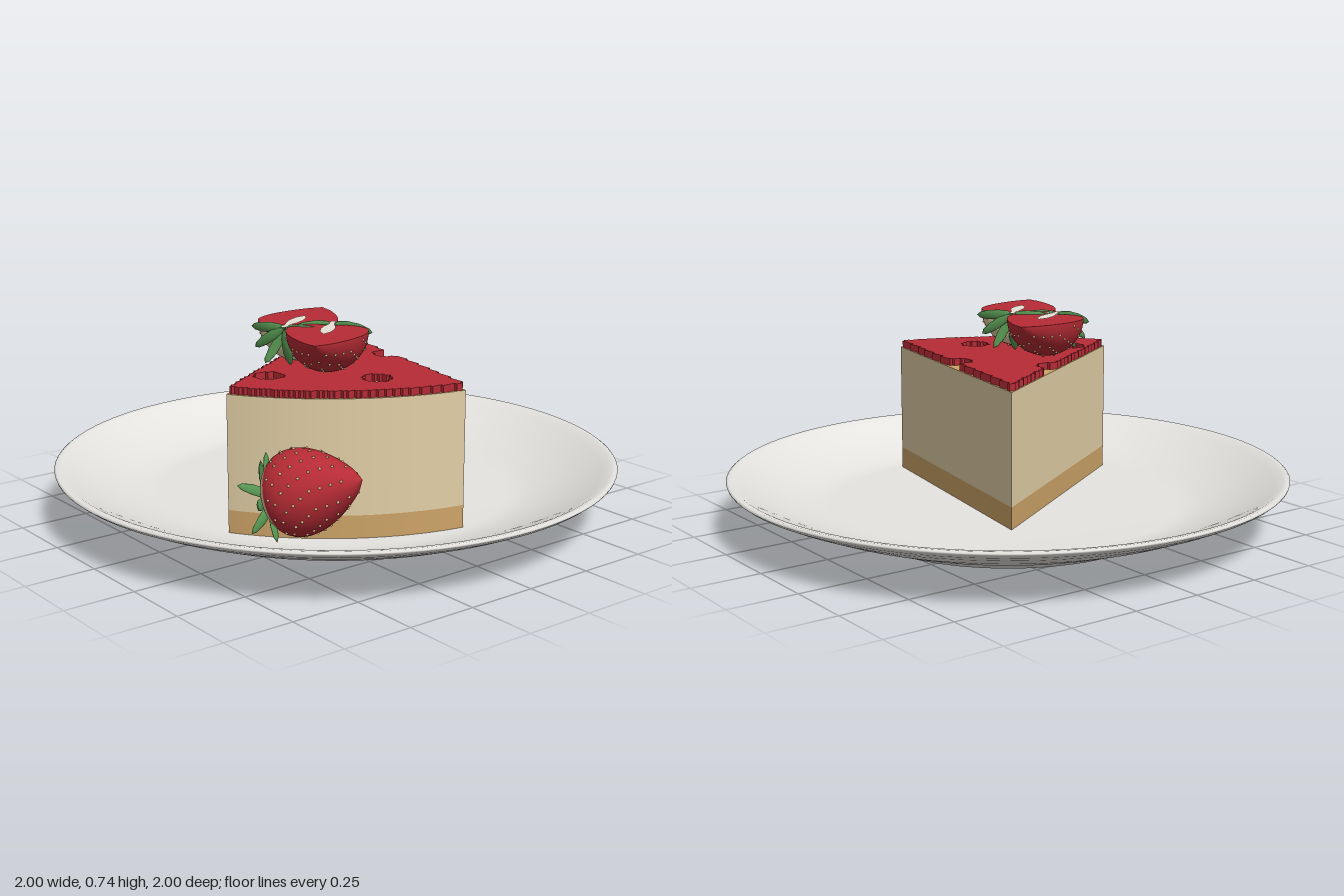
import * as THREE from 'three';
import { mergeGeometries } from 'three/addons/utils/BufferGeometryUtils.js';

const mat = (name, color, side = THREE.FrontSide) => {
  const m = new THREE.MeshStandardMaterial({ color, side });
  m.name = name;
  return m;
};
const V2 = (x, y) => new THREE.Vector2(x, y);

export function createModel() {
  const porcelain = mat('porcelain', 0xe6e4e0);
  const cream = mat('cream filling', 0xe2cfa6);
  const biscuit = mat('biscuit', 0xcda468);
  const red = mat('strawberry red', 0xb62b35, THREE.DoubleSide);
  const pale = mat('pale flesh', 0xe0cba0, THREE.DoubleSide);
  const white = mat('white core', 0xefe8de, THREE.DoubleSide);
  const green = mat('leaf green', 0x559350);
  const seedTan = mat('seed tan', 0xe6bd8c);

  const model = new THREE.Group();
  const add = (parent, name, geo, material) => {
    const m = new THREE.Mesh(geo, material);
    m.name = name;
    parent.add(m);
    return m;
  };

  // Plate: one turned profile, underside first, then rim and inner face
  const under = [[0, 0.008], [0.49, 0.008], [0.515, 0], [0.54, 0], [0.565, 0.012], [0.62, 0.038], [0.7, 0.062],
    [0.82, 0.106], [0.93, 0.152], [0.98, 0.176], [0.998, 0.19], [1, 0.196], [0.993, 0.201], [0.975, 0.199]];
  const inner = [[0.945, 0.184], [0.87, 0.148], [0.78, 0.113], [0.7, 0.093], [0.66, 0.087], [0.62, 0.085], [0, 0.085]];
  add(model, 'plate', new THREE.LatheGeometry([...under, ...inner].map(p => V2(...p)), 96), porcelain);

  // Cake slice: a sector seen from above, extruded downward
  const tip = [-0.32, -0.22], R = 0.953, a0 = 0.174, a1 = 1.018;
  const slab = (top, height) => {
    const s = new THREE.Shape();
    s.moveTo(...tip);
    s.lineTo(tip[0] + R * Math.cos(a0), tip[1] + R * Math.sin(a0));
    s.absarc(tip[0], tip[1], R, a0, a1, false);
    s.closePath();
    const g = new THREE.ExtrudeGeometry(s, { depth: height, bevelEnabled: false, curveSegments: 32 });
    return g.rotateX(Math.PI / 2).translate(0, top, 0);
  };
  const cake = new THREE.Group();
  cake.name = 'cakeSlice';
  model.add(cake);
  add(cake, 'crust', slab(0.165, 0.079), biscuit);
  add(cake, 'filling', slab(0.56, 0.395), [biscuit, cream]);

  // Jam layer: rows of small cells with round gaps, giving stepped edges
  const cell = 0.012;
  const gaps = [[0.14, -0.12], [0.39, 0.13], [0.145, 0.395], [-0.12, 0.1]];
  const inJam = (x, z) => {
    const dx = x - tip[0], dz = z - tip[1], inset = 0.007;
    const nearSide = dz * Math.cos(a0) - dx * Math.sin(a0);
    const farSide = dx * Math.sin(a1) - dz * Math.cos(a1);
    return nearSide > inset && farSide > inset && Math.hypot(dx, dz) < R - inset
      && gaps.every(g => Math.hypot(x - g[0], z - g[1]) > 0.05);
  };
  const runs = [];
  for (let z = -0.22; z < 0.62; z += cell) {
    let start = null;
    for (let x = -0.33; x < 0.66; x += cell) {
      const inside = inJam(x, z);
      if (inside && start === null) start = x;
      if (!inside && start !== null) {
        runs.push(new THREE.BoxGeometry(x - start, 0.025, cell)
          .translate((x + start - cell) / 2, 0.5725, z));
        start = null;
      }
    }
  }
  add(cake, 'jamLayer', mergeGeometries(runs), red);

  // Strawberry profile: y = 0 at the leaves, y = 0.32 at the point
  const profile = new THREE.SplineCurve([[0, 0.012], [0.05, 0], [0.098, 0.012], [0.127, 0.042], [0.138, 0.085],
    [0.131, 0.135], [0.111, 0.185], [0.08, 0.237], [0.042, 0.286], [0, 0.323]].map(p => V2(...p)));
  const pts = profile.getPoints(36);
  pts.forEach(p => { p.x = Math.max(0, p.x); });
  const split = 12;

  // A whole berry, or the half behind its local z = 0 plane
  const strawberry = (name, base, dir, up, half) => {
    const g = new THREE.Group();
    g.name = name;
    const y = new THREE.Vector3(...dir).normalize();
    const x = new THREE.Vector3().crossVectors(y, new THREE.Vector3(...up)).normalize();
    const z = new THREE.Vector3().crossVectors(x, y);
    g.quaternion.setFromRotationMatrix(new THREE.Matrix4().makeBasis(x, y, z));
    g.position.set(...base);
    model.add(g);

    const from = half ? Math.PI / 2 : 0, sweep = half ? Math.PI : Math.PI * 2;
    add(g, 'berryShoulder', new THREE.LatheGeometry(pts.slice(0, split + 1), 36, from, sweep), pale);
    add(g, 'berryBody', new THREE.LatheGeometry(pts.slice(split), 36, from, sweep), red);

    // Seeds in staggered rings
    const seeds = [];
    for (let i = 0; i < 9; i++) {
      const p = profile.getPoint(0.39 + i * 0.06);
      const n = Math.max(4, Math.round(p.x * 100));
      for (let k = 0; k < n; k++) {
        const a = (k + (i % 2) / 2) / n * Math.PI * 2;
        if (half && Math.cos(a) > -0.08) continue;
        seeds.push(new THREE.SphereGeometry(0.005, 6, 4).translate(p.x * Math.sin(a), p.y, p.x * Math.cos(a)));
      }
    }
    add(g, 'seeds', mergeGeometries(seeds), seedTan);

    // Slender curled leaves around the stem
    const leaves = [], count = half ? 7 : 11;
    for (let i = 0; i < count; i++) {
      const leaf = new THREE.SphereGeometry(1, 10, 8).scale(0.07, 0.007, 0.018).translate(0.074, 0, 0);
      const pos = leaf.attributes.position, curl = [2.2, -1.6, 0.8][i % 3];
      for (let v = 0; v < pos.count; v++) {
        pos.setY(v, pos.getY(v) - 0.008 + curl * pos.getX(v) ** 2 - (curl > 0 ? 0.012 : 0));
      }
      leaf.computeVertexNormals();
      const angle = half ? 0.12 + i / (count - 1) * (Math.PI - 0.24) : i / count * Math.PI * 2;
      leaves.push(leaf.rotateY(angle));
    }
    add(g, 'leaves', mergeGeometries(leaves), green);

    if (half) {
      // Flat cut face with its white core and cut stem
      const outline = [...pts, ...pts.slice(1, -1).reverse().map(p => V2(-p.x, p.y))];
      add(g, 'cutFace', new THREE.ShapeGeometry(new THREE.Shape(outline)), red);
      const core = new THREE.Shape([[-0.009, -0.045], [0.009, -0.045], [0.009, 0], [0.02, 0.04], [0.024, 0.08],
        [0.018, 0.125], [0, 0.16], [-0.018, 0.125], [-0.024, 0.08], [-0.02, 0.04], [-0.009, 0]].map(p => V2(...p)));
      add(g, 'cutCore', new THREE.ShapeGeometry(core), white).position.z = 0.003;
    } else {
      add(g, 'stem', new THREE.CylinderGeometry(0.012, 0.009, 0.05, 8).translate(0, -0.018, 0), green);
    }
  };

  strawberry('strawberryHalfLeft', [0.08, 0.726, 0.27], [-0.17, 0, -0.28], [0, 1, 0], true);
  strawberry('strawberryHalfRight', [0.175, 0.73, 0.155], [0.235, 0, 0.255], [0, 1, 0], true);
  strawberry('wholeStrawberry', [0.505, 0.305, 0.63], [0.27, 0.1, -0.11], [0, 1, 0], false);

  return model;
}
